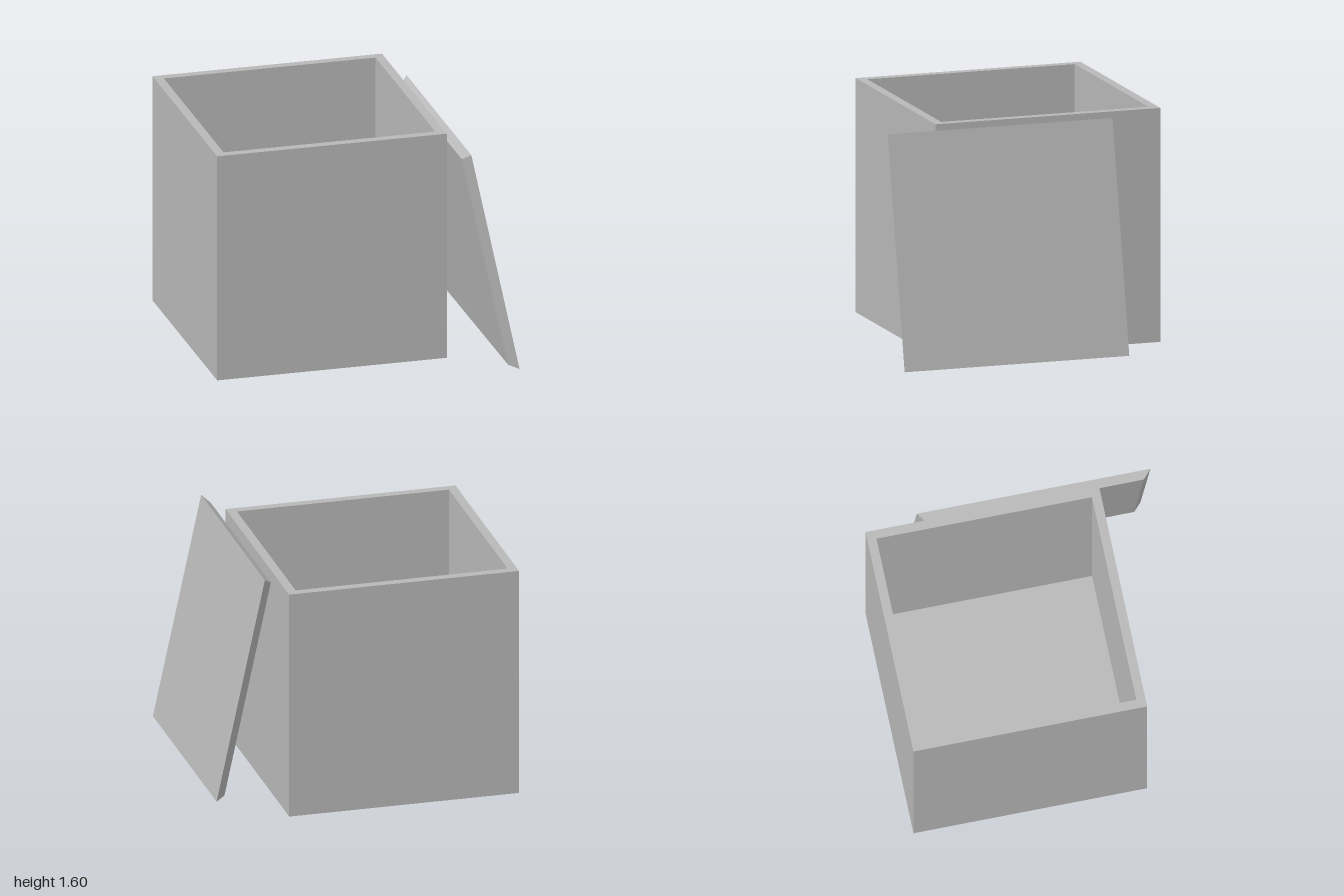
import * as THREE from 'three';

export function createModel() {
  const group = new THREE.Group();
  const grey = new THREE.MeshStandardMaterial({ color: 0xb8b8b8 });
  grey.name = 'plain grey';

  const size = 1.596, wall = 0.062, floorHeight = 0.06;
  const boxX = -0.202, boxZ = -0.182;

  const add = (name, geometry, x, y, z) => {
    const mesh = new THREE.Mesh(geometry, grey);
    mesh.name = name;
    mesh.position.set(x, y, z);
    group.add(mesh);
    return mesh;
  };

  // Counter-clockwise square outline centred on the origin
  const square = (PathType, side) => {
    const h = side / 2;
    return new PathType([[-h, -h], [h, -h], [h, h], [-h, h]].map(([x, y]) => new THREE.Vector2(x, y)));
  };

  // Four walls in one piece, open at the top
  const inner = size - 2 * wall;
  const outline = square(THREE.Shape, size);
  outline.holes.push(square(THREE.Path, inner));
  const walls = new THREE.ExtrudeGeometry(outline, { depth: 1.6, bevelEnabled: false });
  walls.rotateX(-Math.PI / 2);
  add('boxWalls', walls, boxX, 0, boxZ);

  // Floor between the walls
  add('boxFloor', new THREE.BoxGeometry(inner, floorHeight, inner), boxX, floorHeight / 2, boxZ);

  // Lid leaning on the side: outer face at local x = 0, inner face smaller for bevelled edges
  const thickness = 0.062;
  const lidGeometry = new THREE.BoxGeometry(thickness, size, size);
  lidGeometry.translate(-thickness / 2, 0, 0);
  const p = lidGeometry.attributes.position;
  for (let i = 0; i < p.count; i++) {
    if (p.getX(i) > -thickness / 2) continue;
    const sideZ = Math.sign(p.getZ(i));
    p.setXYZ(i, p.getX(i) + 0.003 * sideZ, p.getY(i) * 0.962, p.getZ(i) * 0.931);
  }
  const lid = add('lid', lidGeometry.toNonIndexed(), 0.832, 0.79, 0.182);
  lid.geometry.computeVertexNormals();
  lid.rotation.z = 0.2115;

  return group;
}
